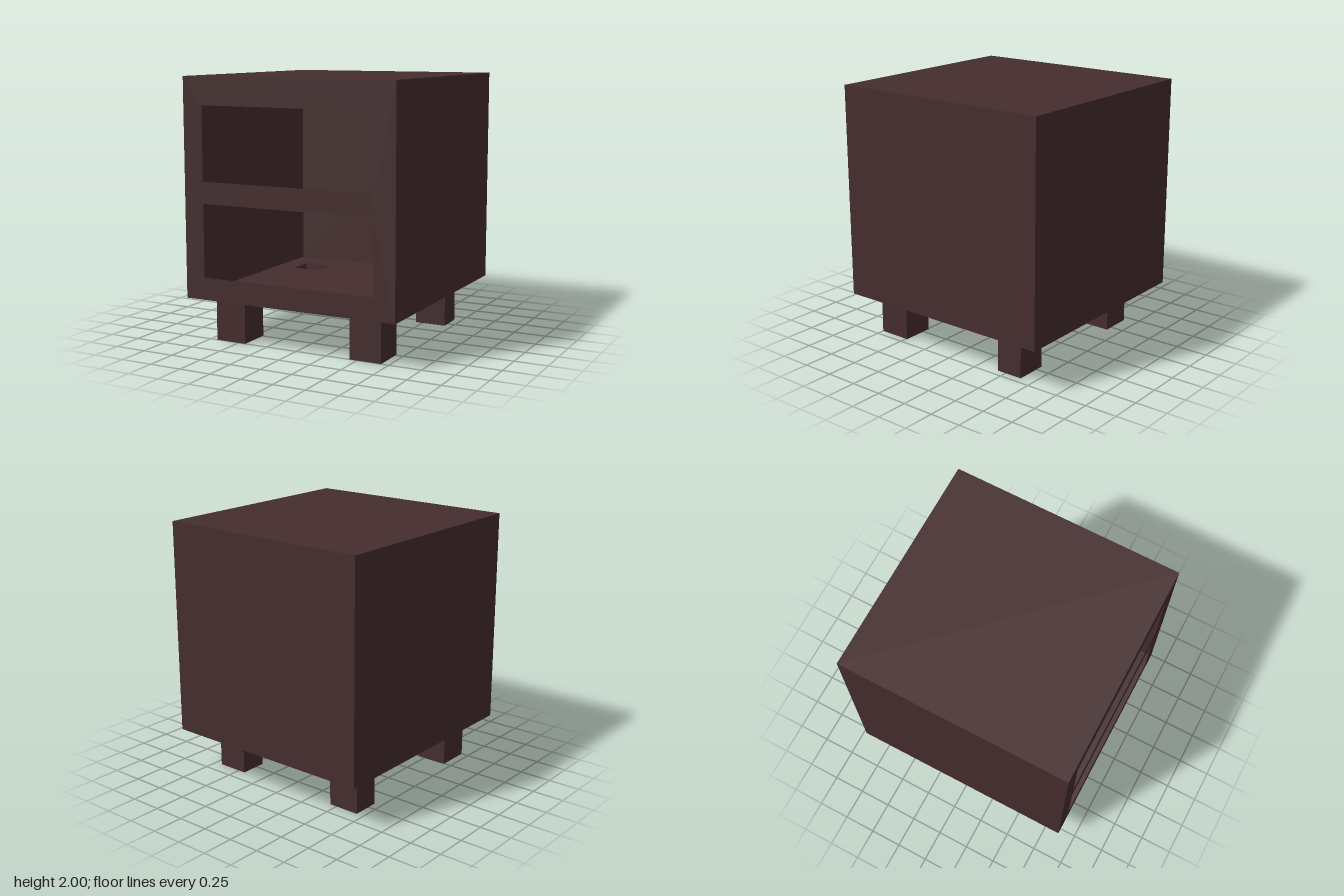
import * as THREE from 'three';

const W = 0.86, D = 0.89, FLOOR = 0.34, TOP = 2;

// Rectangular outline given by its four limits
function rect(Type, x0, x1, y0, y1) {
  const s = new Type();
  s.moveTo(x0, y0);
  s.lineTo(x1, y0);
  s.lineTo(x1, y1);
  s.lineTo(x0, y1);
  s.closePath();
  return s;
}

// Thin rectangular sheet with optional rectangular openings
function sheet(limits, openings = []) {
  const shape = rect(THREE.Shape, ...limits);
  for (const o of openings) shape.holes.push(rect(THREE.Path, ...o));
  return new THREE.ShapeGeometry(shape);
}

export function createModel() {
  const group = new THREE.Group();
  const wood = new THREE.MeshStandardMaterial({ color: 0x452d2e, side: THREE.DoubleSide });
  wood.name = 'darkWood';

  const add = (parent, name, geometry) => {
    const mesh = new THREE.Mesh(geometry, wood);
    mesh.name = name;
    parent.add(mesh);
  };

  // Each leg: x and z limits; hollow and open into the cabinet
  const legs = [];
  for (const [row, z0, z1] of [['front', 0.49, 0.75], ['back', -0.64, -0.43]]) {
    legs.push([row + 'LeftLeg', 0.44, 0.69, z0, z1], [row + 'RightLeg', -0.69, -0.44, z0, z1]);
  }

  // Hollow cabinet of single sheets
  const cabinet = new THREE.Group();
  cabinet.name = 'cabinet';
  group.add(cabinet);
  const openings = [[-0.7, 0.695, 0.51, 1.065], [-0.7, 0.695, 1.23, 1.79]];
  add(cabinet, 'frontFrame', sheet([-W, W, FLOOR, TOP], openings).translate(0, 0, D));
  add(cabinet, 'backPanel', sheet([-W, W, FLOOR, TOP]).rotateY(Math.PI).translate(0, 0, -D));
  add(cabinet, 'leftPanel', sheet([-D, D, FLOOR, TOP]).rotateY(Math.PI / 2).translate(W, 0, 0));
  add(cabinet, 'rightPanel', sheet([-D, D, FLOOR, TOP]).rotateY(-Math.PI / 2).translate(-W, 0, 0));
  add(cabinet, 'topPanel', sheet([-W, W, -D, D]).rotateX(-Math.PI / 2).translate(0, TOP, 0));
  add(cabinet, 'floorPanel',
    sheet([-W, W, -D, D], legs.map((l) => l.slice(1))).rotateX(Math.PI / 2).translate(0, FLOOR, 0));

  // Legs: four walls and a foot
  for (const [name, x0, x1, z0, z1] of legs) {
    const leg = new THREE.Group();
    leg.name = name;
    leg.position.set((x0 + x1) / 2, 0, (z0 + z1) / 2);
    group.add(leg);
    const w = (x1 - x0) / 2, d = (z1 - z0) / 2;
    for (let i = 0; i < 4; i++) {
      const [half, out] = i % 2 ? [d, w] : [w, d];
      add(leg, 'legWall', sheet([-half, half, 0, FLOOR]).translate(0, 0, out).rotateY(i * Math.PI / 2));
    }
    add(leg, 'foot', sheet([-w, w, -d, d]).rotateX(Math.PI / 2));
  }
  return group;
}
